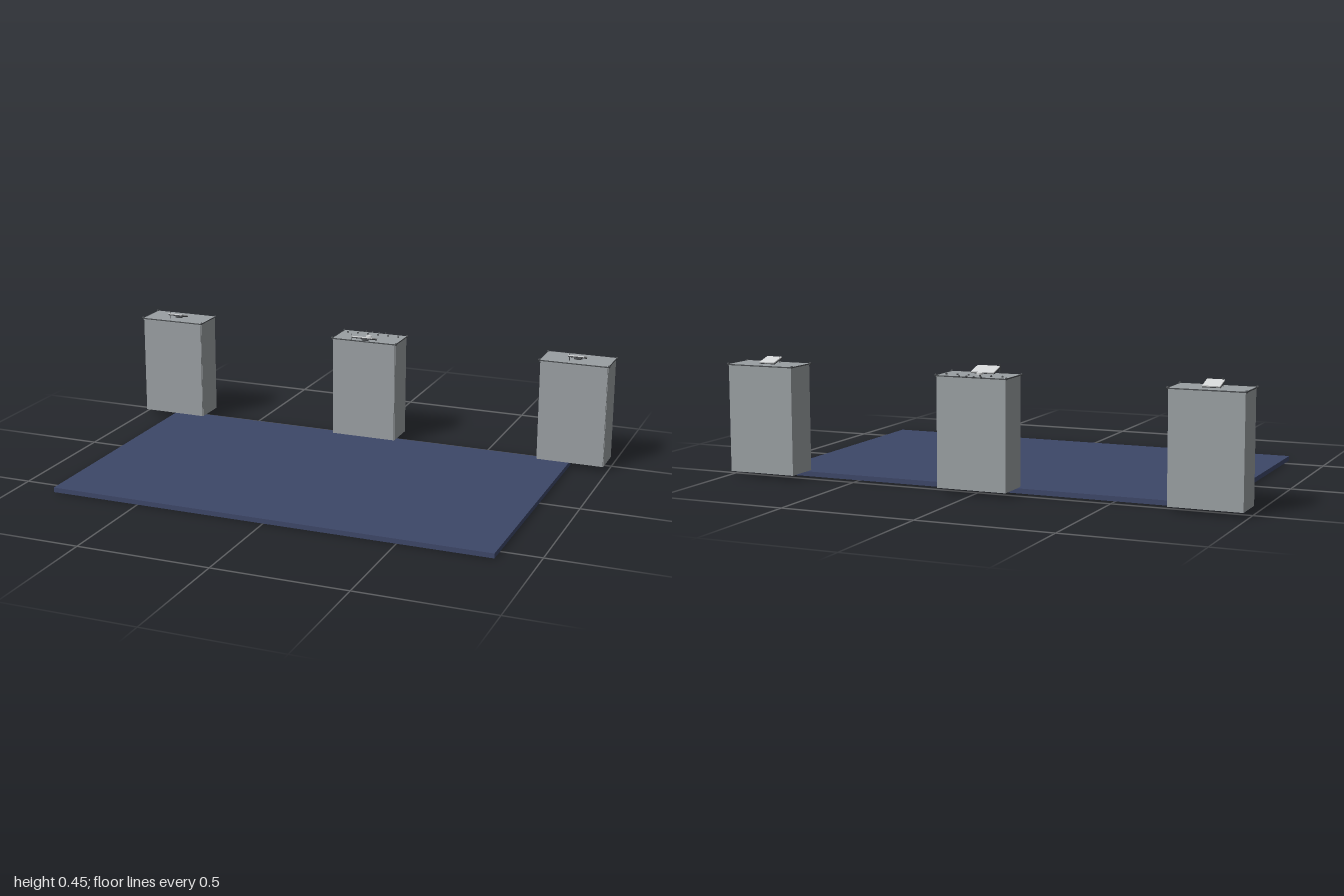
import * as THREE from 'three';

const mat = (name, color) => Object.assign(new THREE.MeshStandardMaterial({ color }), { name });

export function createModel() {
  const group = new THREE.Group();
  const blue = mat('floor blue', 0x3d4768);
  const grey = mat('cabinet grey', 0x9a9fa2);
  const dark = mat('dark metal', 0x4a4d50);
  const light = mat('screen light grey', 0xd4d6d7);

  const add = (parent, name, geo, material, x, y, z) => {
    const mesh = new THREE.Mesh(geo, material);
    mesh.name = name;
    mesh.position.set(x, y, z);
    parent.add(mesh);
    return mesh;
  };
  const box = (p, name, m, w, h, d, x, y, z) => add(p, name, new THREE.BoxGeometry(w, h, d), m, x, y, z);
  const knob = (p, name, r, x, y, z) => add(p, name, new THREE.SphereGeometry(r, 10, 8), dark, x, y, z);

  // Floor slab
  box(group, 'floor', blue, 1.698, 0.018, 1.022, 0, 0.009, 0.056);

  // Cabinet origin lies on the floor top, in the middle of its footprint
  const W = 0.264, D = 0.134, H = 0.396;
  function cabinet(name, x) {
    const c = new THREE.Group();
    c.name = name;
    c.position.set(x, 0.018, -0.489);
    group.add(c);
    box(c, 'body', grey, W, H, D - 0.006, 0, H / 2, -0.003);
    box(c, 'frontPanel', grey, W - 0.003, H - 0.003, 0.006, 0, H / 2, D / 2 - 0.003);
    box(c, 'topPlate', grey, W + 0.002, 0.006, D + 0.002, 0, H + 0.002, 0);

    // Edge rails and corner knobs
    for (const s of [-1, 1]) {
      box(c, 'longRail', dark, W + 0.006, 0.004, 0.003, 0, H + 0.003, s * (D / 2 + 0.001));
      box(c, 'sideRail', dark, 0.003, 0.004, D + 0.004, s * (W / 2 + 0.001), H + 0.003, 0);
      for (const t of [-1, 1]) knob(c, 'cornerKnob', 0.005, s * (W / 2 + 0.003), H + 0.005, t * (D / 2 - 0.001));
    }
    return c;
  }

  // Tilted screen on a round foot, raised at the front edge
  function screen(c, w, d, x, z) {
    const s = new THREE.Group();
    s.name = 'screen';
    s.position.set(x, H + 0.016, z);
    s.rotation.x = -0.29;
    c.add(s);
    box(s, 'screenFace', light, w, 0.004, d, 0, 0.002, 0);
    box(s, 'screenBack', dark, w, 0.004, d, 0, -0.002, 0);
    add(c, 'screenFoot', new THREE.CylinderGeometry(0.016, 0.016, 0.004, 20), dark, x, H + 0.007, z - 0.012);
    add(c, 'screenPost', new THREE.CylinderGeometry(0.005, 0.005, 0.012, 12), dark, x, H + 0.01, z - 0.006);
  }

  for (const [name, x] of [['rightCabinet', -0.852], ['leftCabinet', 0.852]]) {
    const c = cabinet(name, x);
    screen(c, 0.062, 0.058, 0, 0.011);
    add(c, 'antenna', new THREE.CylinderGeometry(0.0015, 0.0015, 0.03, 8), dark, -0.026, H + 0.02, 0.032);
  }

  // Middle cabinet with a wider screen, a button and rows of knobs
  const mid = cabinet('middleCabinet', 0);
  screen(mid, 0.088, 0.06, 0, 0.061);
  add(mid, 'antenna', new THREE.CylinderGeometry(0.0015, 0.0015, 0.03, 8), dark, -0.044, H + 0.02, 0.085);
  add(mid, 'button', new THREE.CylinderGeometry(0.012, 0.012, 0.008, 16), light, 0, H + 0.008, 0.01);
  for (let i = 0; i < 6; i++) knob(mid, 'controlKnob', 0.004, -0.108 + i * 0.0432, H + 0.007, -0.036);
  for (let i = 0; i < 4; i++) knob(mid, 'rearKnob', 0.004, -0.042 + i * 0.028, H + 0.006, -0.072);

  return group;
}
